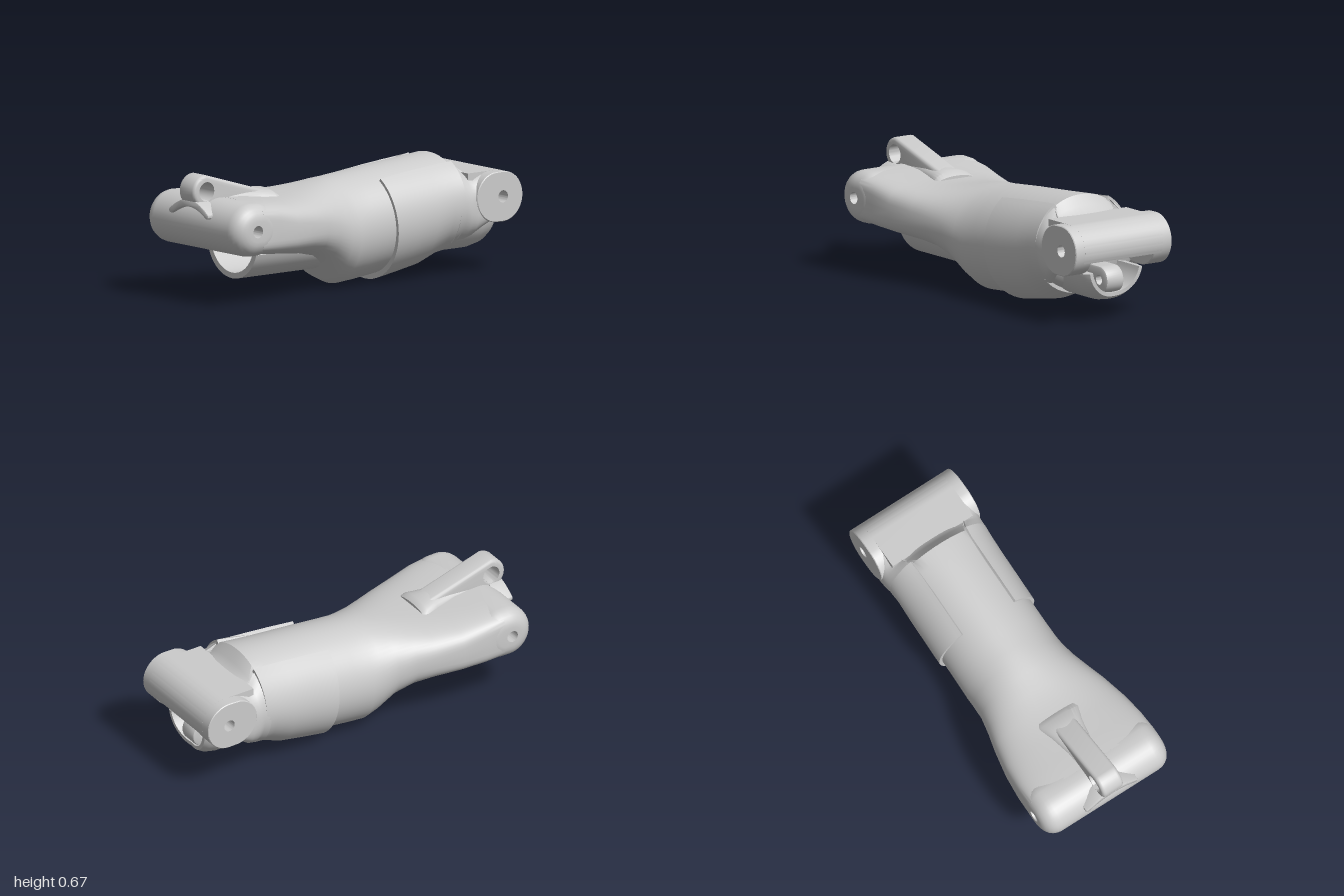
import * as THREE from 'three';
import { toCreasedNormals } from 'three/addons/utils/BufferGeometryUtils.js';

const material = new THREE.MeshStandardMaterial({ color: 0xcccccc });

function part(name, geometry, crease = 0.6) {
  const mesh = new THREE.Mesh(toCreasedNormals(geometry, crease), material);
  mesh.name = name;
  return mesh;
}

// Skin a list of closed rings, each counter-clockwise about the direction of travel
function loft(rings, caps = true) {
  const n = rings[0].length, pos = rings.flat(2), index = [];
  for (let i = 0; i < rings.length - 1; i++) {
    for (let j = 0; j < n; j++) {
      const k = (j + 1) % n, a = i * n + j, b = i * n + k;
      index.push(a, b, a + n, b, b + n, a + n);
    }
  }
  if (caps) {
    [0, rings.length - 1].forEach((r, end) => {
      const c = pos.length / 3;
      for (let axis = 0; axis < 3; axis++) pos.push(rings[r].reduce((s, p) => s + p[axis], 0) / n);
      for (let j = 0; j < n; j++) {
        const a = r * n + j, b = r * n + (j + 1) % n;
        index.push(c, end ? a : b, end ? b : a);
      }
    });
  }
  const g = new THREE.BufferGeometry();
  g.setAttribute('position', new THREE.Float32BufferAttribute(pos, 3));
  g.setIndex(index);
  return g;
}

// Superellipse section: [z, half width, top, bottom, exponent]
function sectionPoint([z, hw, top, bot, e], t, grow = 0) {
  const f = v => Math.sign(v) * Math.abs(v) ** (2 / e);
  return [(hw + grow) * f(Math.cos(t)), (top + bot) / 2 + ((top - bot) / 2 + grow) * f(Math.sin(t)), z];
}
const sectionLoft = (sections, n = 48) => loft(sections.map(s =>
  Array.from({ length: n }, (_, j) => sectionPoint(s, j / n * Math.PI * 2))));

// Thin wall following the sections between two angles; tilt slants the first edge
function shell(sections, t0, t1, steps, tilt = 0) {
  const rings = [];
  for (let i = 0; i <= steps; i++) {
    const t = t0 + (t1 - t0) * i / steps;
    const at = grow => sections.map((s, k) => {
      const [x, y, z] = sectionPoint(s, t, grow);
      return [x, y, k === 0 ? z + tilt * Math.sin(t) : z];
    });
    rings.push([...at(-0.02).reverse(), ...at(0.016)]);
  }
  return loft(rings);
}

// Stretched round block with a pin hole along x; slices are [x, inset]
function pinBlock({ y, z, r, hole, dy = 0, dz, farR = r, slices, n = 40 }) {
  const ring = (x, inset) => Array.from({ length: n }, (_, j) => {
    const t = j / n * Math.PI * 2, c = Math.cos(t), s = Math.sin(t);
    const far = s * Math.sign(dz) > 1e-6;
    const q = inset === null ? hole : (far ? farR : r) - inset;
    const move = far && inset !== null ? 1 : 0;
    return [x, y + q * c + dy * move, z + q * s + dz * move];
  });
  const x0 = slices[0][0], x1 = slices[slices.length - 1][0];
  return loft([ring(x0, null), ...slices.map(s => ring(...s)), ring(x1, null), ring(x0, null)], false);
}

// Slices of a block whose two ends are rounded over
function roundedSlices(x0, x1, bevel, steps) {
  const start = Array.from({ length: steps + 1 }, (_, i) => {
    const a = i / steps * Math.PI / 2;
    return [x0 + bevel * (1 - Math.sin(a)), bevel * (1 - Math.cos(a))];
  }).reverse();
  return [...start, ...start.map(([x, inset]) => [x0 + x1 - x, inset]).reverse()];
}

// Curved half-pipe wall swept about an axis parallel to z, its back edge chamfered
function trough(cy, rOut, rIn, t0, t1, back, front, chamfer) {
  const rings = [];
  for (let i = 0; i <= 24; i++) {
    const t = t0 + (t1 - t0) * i / 24, c = Math.cos(t), s = Math.sin(t), z = back(t);
    const outline = [[rIn, z], [rIn, front], [rOut, front], [rOut, z + chamfer * 3],
      [rOut - chamfer * 0.4, z + chamfer], [rOut - chamfer, z]];
    rings.push(outline.map(([r, pz]) => [r * c, cy + r * s, pz]));
  }
  return loft(rings);
}

export function createModel() {
  const model = new THREE.Group();

  // Main body, flat and wide at the front, round in the middle
  const body = [
    [-0.74, 0.285, 0.515, 0.24, 3], [-0.70, 0.288, 0.525, 0.17, 2.6], [-0.66, 0.285, 0.57, 0.14, 2.3],
    [-0.62, 0.28, 0.622, 0.12, 2.1], [-0.55, 0.28, 0.618, 0.11, 2], [-0.45, 0.28, 0.61, 0.065, 2],
    [-0.2, 0.277, 0.59, 0.03, 2], [-0.05, 0.278, 0.575, 0.012, 2], [0.05, 0.28, 0.565, 0.004, 2],
    [0.11, 0.282, 0.56, 0.035, 2.05], [0.2, 0.292, 0.545, 0.12, 2.2], [0.3, 0.315, 0.53, 0.18, 2.5],
    [0.4, 0.342, 0.52, 0.21, 2.9], [0.55, 0.372, 0.52, 0.232, 3.6], [0.68, 0.384, 0.535, 0.25, 4.6],
    [0.79, 0.386, 0.54, 0.264, 5.5],
  ];
  model.add(part('body', sectionLoft(body, 64), 0.8));

  // Front knuckle with its pin hole
  model.add(part('frontKnuckle', pinBlock({
    y: 0.402, z: 0.832, r: 0.139, hole: 0.032, dz: -0.03, slices: roundedSlices(-0.387, 0.387, 0.085, 6),
  }), 0.7));

  // Thin sleeve around the rear half, open along the top
  const sleeve = [
    [-0.18, 0.28, 0.585, 0.016, 2], [-0.32, 0.28, 0.603, 0.036, 2], [-0.45, 0.28, 0.614, 0.06, 2],
    [-0.56, 0.28, 0.62, 0.105, 2], [-0.63, 0.283, 0.622, 0.12, 2.1],
  ];
  model.add(part('rearSleeve', shell(sleeve, Math.PI / 2 + 0.6, Math.PI * 2.5 - 0.6, 48, 0.02)));

  // Side walls running from the sleeve into the hinge cheeks
  const wall = [
    [-0.6, 0.281, 0.61, 0.115, 2.1], [-0.64, 0.284, 0.6, 0.13, 2.1], [-0.67, 0.286, 0.555, 0.15, 2.4],
    [-0.71, 0.288, 0.519, 0.185, 3], [-0.76, 0.29, 0.516, 0.24, 4.5], [-0.81, 0.291, 0.516, 0.28, 7],
  ];
  model.add(part('leftSideWall', shell(wall, -0.8, 0.95, 20)));
  model.add(part('rightSideWall', shell(wall, Math.PI - 0.95, Math.PI + 0.8, 20)));

  // Rear hinge: two cheeks with pin holes joined by a curved cover
  for (const side of [-1, 1]) {
    const xs = [side * 0.2, side * 0.308].sort((a, b) => a - b);
    model.add(part(side > 0 ? 'leftHingeCheek' : 'rightHingeCheek', pinBlock({
      y: 0.4, z: -0.868, r: 0.132, hole: 0.032, dz: 0.04, slices: roundedSlices(xs[0], xs[1], 0.004, 1),
    })));
  }
  const cover = new THREE.Shape();
  cover.moveTo(0.68, 0.532);
  cover.lineTo(0.68, 0.45);
  cover.lineTo(0.868, 0.485);
  cover.absarc(0.868, 0.4, 0.085, Math.PI / 2, -0.45, true);
  cover.absarc(0.868, 0.4, 0.132, -0.45, Math.PI / 2, false);
  cover.closePath();
  const coverGeometry = new THREE.ExtrudeGeometry(cover, { depth: 0.5, bevelEnabled: false, curveSegments: 16 });
  coverGeometry.rotateY(Math.PI / 2).translate(-0.25, 0, 0);
  model.add(part('rearHingeCover', coverGeometry));

  // Curved tongues below both ends
  model.add(part('frontTongue', trough(0.3, 0.205, 0.175, Math.PI + 0.3, Math.PI * 2 - 0.3,
    () => 0.08, 0.69, 0)));
  model.add(part('rearTongue', trough(0.3, 0.2, 0.15, Math.PI + 0.17, Math.PI * 2 - 0.17,
    t => -0.9 - 0.03 * Math.abs(Math.cos(t)), -0.5, 0.03)));

  // Small eye between the rear cheeks
  model.add(part('rearEye', pinBlock({
    y: 0.215, z: -0.855, r: 0.072, hole: 0.026, dz: 0.18, slices: roundedSlices(-0.055, 0.055, 0.012, 2),
  })));

  // Raised eye on top of the front
  model.add(part('topEye', pinBlock({
    y: 0.581, z: 0.912, r: 0.086, hole: 0.05, dy: -0.07, dz: -0.36, farR: 0.045,
    slices: roundedSlices(-0.064, 0.064, 0.018, 3),
  })));

  // Flared foot behind the eye
  model.add(part('topEyeFoot', sectionLoft([
    [0.46, 0.132, 0.535, 0.44, 2.2], [0.49, 0.125, 0.556, 0.44, 2.2], [0.56, 0.1, 0.56, 0.44, 2.3],
    [0.68, 0.078, 0.565, 0.44, 2.6], [0.84, 0.066, 0.56, 0.44, 3],
  ], 32)));

  // Curved brace across the front of the eye
  const brace = new THREE.Shape();
  brace.moveTo(-0.155, 0.472);
  brace.quadraticCurveTo(-0.1, 0.515, -0.05, 0.53);
  brace.lineTo(0.05, 0.53);
  brace.quadraticCurveTo(0.1, 0.515, 0.155, 0.472);
  brace.quadraticCurveTo(0.16, 0.455, 0.142, 0.457);
  brace.quadraticCurveTo(0, 0.555, -0.142, 0.457);
  brace.quadraticCurveTo(-0.16, 0.455, -0.155, 0.472);
  const braceGeometry = new THREE.ExtrudeGeometry(brace, {
    depth: 0.07, bevelSize: 0.005, bevelThickness: 0.008, bevelSegments: 2, curveSegments: 12,
  });
  model.add(part('topEyeBrace', braceGeometry.translate(0, 0, 0.905)));

  return model;
}
